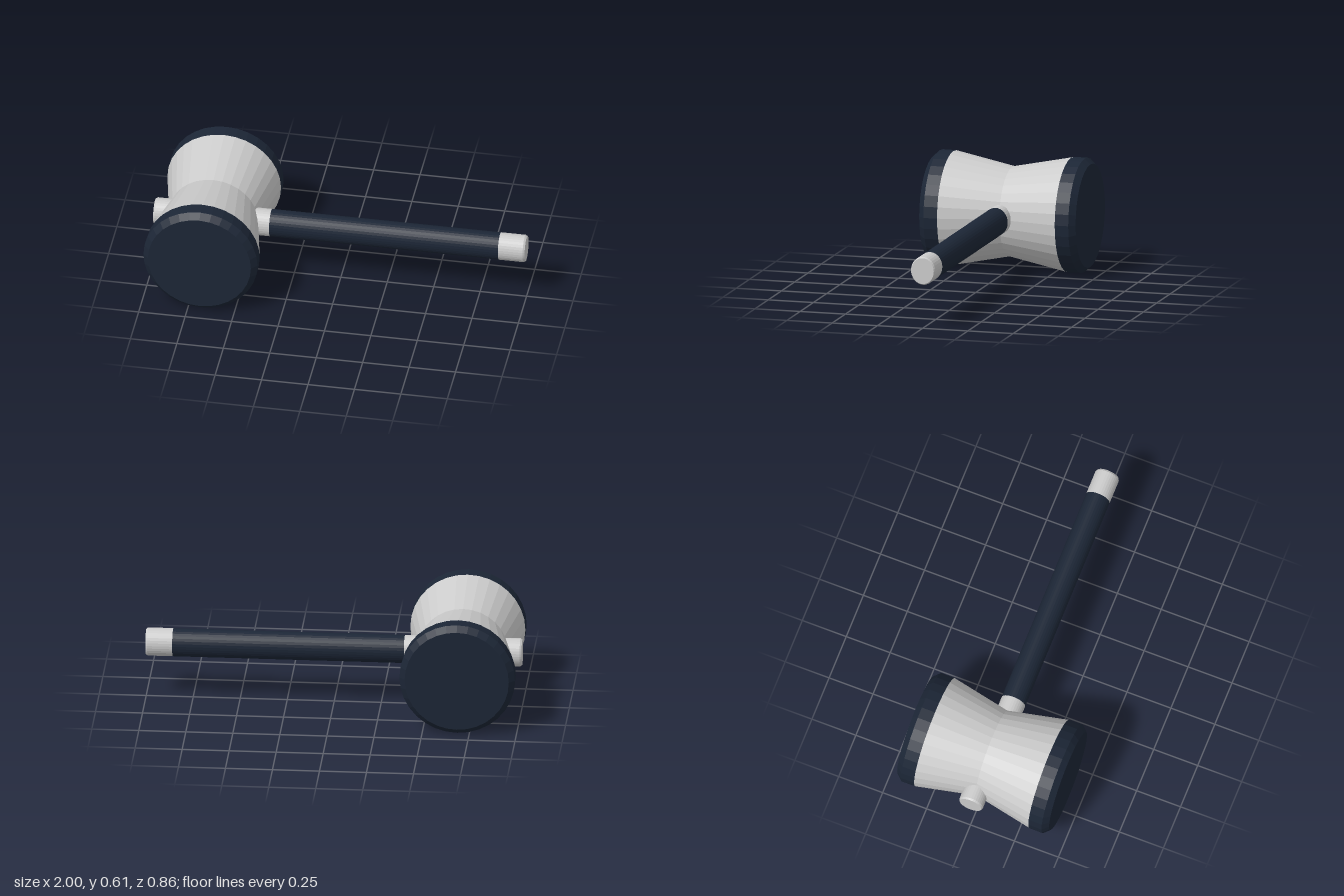
import * as THREE from 'three';

const grey = new THREE.MeshStandardMaterial({ color: 0xcccccc, flatShading: true });
const navy = new THREE.MeshStandardMaterial({ color: 0x1c2636, flatShading: true });
const SIDES = 32;
const HEAD_X = -0.685, AXIS_Y = 0.307;

// Turned part from [radius, distance along axis] pairs, in rising order
function turned(name, profile, material) {
  const points = profile.map(([r, d]) => new THREE.Vector2(r, d));
  const mesh = new THREE.Mesh(new THREE.LatheGeometry(points, SIDES), material);
  mesh.name = name;
  return mesh;
}

export function createModel() {
  const model = new THREE.Group();
  model.name = 'mallet';

  // Head: waisted barrel with a bevelled striking face at each end
  const head = new THREE.Group();
  head.name = 'head';
  head.position.set(HEAD_X, AXIS_Y, 0);
  head.rotation.x = Math.PI / 2;
  head.add(turned('barrel', [[0.306, -0.325], [0.24, 0], [0.306, 0.325]], grey));
  for (const [name, turn] of [['frontFace', 0], ['backFace', Math.PI]]) {
    const face = turned(name, [[0.306, 0.325], [0.307, 0.4], [0.277, 0.432], [0, 0.432]], navy);
    face.rotation.x = turn;
    head.add(face);
  }
  model.add(head);

  // Handle: oval shaft through the head, with a dark grip and a bare butt
  const handle = new THREE.Group();
  handle.name = 'handle';
  handle.position.set(0, AXIS_Y + 0.002, 0);
  handle.rotation.z = -Math.PI / 2;
  handle.scale.set(0.076, 1, 0.067);
  handle.add(
    turned('shaft', [[0, -1], [0.92, -1], [1, -0.99], [1, -0.375]], grey),
    turned('grip', [[1, -0.375], [1, 0.857]], navy),
    turned('butt', [[1, 0.857], [1, 0.99], [0.92, 1], [0, 1]], grey),
  );
  model.add(handle);

  return model;
}
